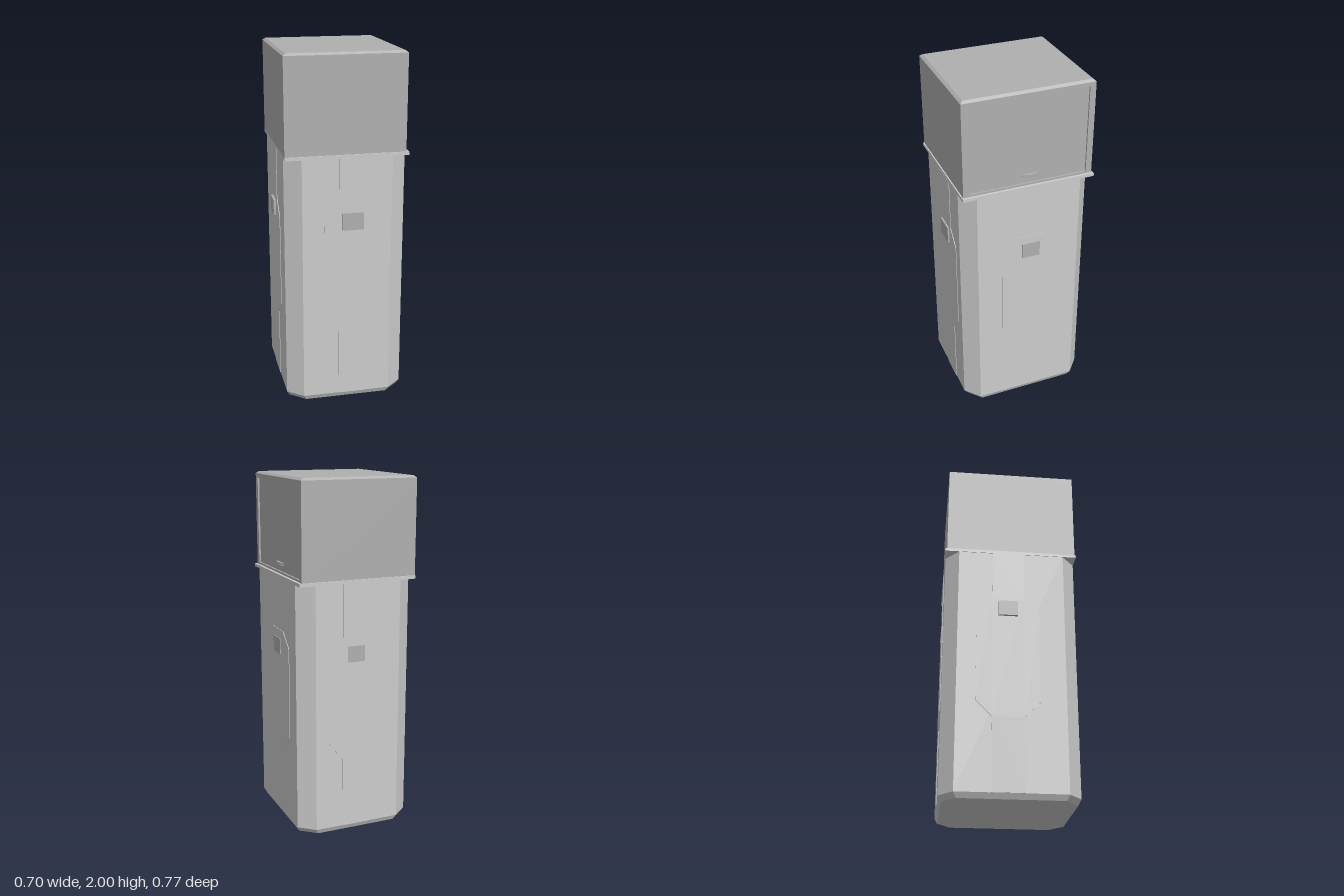
import * as THREE from 'three';
import { ConvexGeometry } from 'three/addons/geometries/ConvexGeometry.js';

const grey = new THREE.MeshStandardMaterial({ color: 0xcccccc, flatShading: true });
const darkGrey = new THREE.MeshStandardMaterial({ color: 0xafafaf, flatShading: true });

function add(parent, name, geometry, material) {
  const mesh = new THREE.Mesh(geometry, material);
  mesh.name = name;
  parent.add(mesh);
  return mesh;
}

// Box given by its minimum and maximum on each axis
function box(x0, x1, y0, y1, z0, z1) {
  return new THREE.BoxGeometry(x1 - x0, y1 - y0, z1 - z0)
    .translate((x0 + x1) / 2, (y0 + y1) / 2, (z0 + z1) / 2);
}

// Rectangle with optional cut corners, shrunk by inset, at height y
function ring(x0, x1, z0, z1, cx, cz, inset, y) {
  const points = [];
  for (const [x, sx] of [[x0 + inset, 1], [x1 - inset, -1]]) {
    for (const [z, sz] of [[z0 + inset, 1], [z1 - inset, -1]]) {
      if (cx === 0) points.push(new THREE.Vector3(x, y, z));
      else points.push(new THREE.Vector3(x + sx * cx, y, z), new THREE.Vector3(x, y, z + sz * cz));
    }
  }
  return points;
}

// Eight-sided raised panel, optionally joined to bands running up and down
function panelGeometry(halfWidth, halfBand, bandUp, bandDown) {
  const right = [];
  if (bandDown) right.push([halfBand, 0.03]);
  right.push([halfBand, 0.44], [halfWidth, 0.53], [halfWidth, 1.06], [halfBand, 1.14]);
  if (bandUp) right.push([halfBand, 1.44]);
  const left = right.map(([x, y]) => [-x, y]).reverse();
  const shape = new THREE.Shape([...right, ...left].map(([x, y]) => new THREE.Vector2(x, y)));
  return new THREE.ExtrudeGeometry(shape, { depth: 0.006, bevelEnabled: false }).translate(0, 0, -0.003);
}

export function createModel() {
  const model = new THREE.Group();
  model.name = 'tower';

  // Main body with chamfered corners and a bevelled foot
  const body = [-0.337, 0.342, -0.38, 0.37, 0.088, 0.075];
  add(model, 'body', new ConvexGeometry([
    ...ring(...body, 0.015, 0), ...ring(...body, 0, 0.03), ...ring(...body, 0, 1.44),
  ]), grey);
  add(model, 'flange', box(-0.34, 0.346, 1.438, 1.456, -0.384, 0.372), grey);

  // Raised panels, one per side
  const sides = [
    ['frontPanel', 0.16, 0.08, true, true, 0.035, 0.37, 0],
    ['backPanel', 0.16, 0.08, true, true, 0.015, -0.38, Math.PI],
    ['leftPanel', 0.177, 0.088, false, false, 0.342, -0.023, Math.PI / 2],
    ['rightPanel', 0.177, 0.088, true, true, -0.337, -0.023, -Math.PI / 2],
  ];
  for (const [name, width, band, up, down, x, z, turn] of sides) {
    const panel = add(model, name, panelGeometry(width, band, up, down), grey);
    panel.position.set(x, 0, z);
    panel.rotation.y = turn;
  }

  // Small latch plates on the panels
  add(model, 'frontLatch', box(-0.028, 0.093, 1.033, 1.13, 0.36, 0.383), darkGrey);
  add(model, 'backLatch', box(-0.034, 0.067, 1, 1.09, -0.387, -0.37), darkGrey);
  add(model, 'leftLatch', box(0.33, 0.35, 1, 1.09, -0.07, 0.035), darkGrey);
  add(model, 'rightLatch', box(-0.354, -0.33, 1.037, 1.125, -0.077, 0.031), darkGrey);

  // Head: core, bevelled cap and a frame around the recessed door
  const head = new THREE.Group();
  head.name = 'head';
  model.add(head);
  const cap = [-0.34, 0.33, -0.375, 0.365, 0, 0];
  add(head, 'core', box(-0.34, 0.32, 1.45, 1.965, -0.375, 0.365), darkGrey);
  add(head, 'cap', new ConvexGeometry([
    ...ring(...cap, 0, 1.965), ...ring(...cap, 0, 1.988), ...ring(...cap, 0.015, 2),
  ]), darkGrey);
  for (const [z0, z1] of [[-0.375, -0.341], [0.331, 0.365]]) {
    add(head, 'doorPost', box(0.31, 0.33, 1.45, 1.965, z0, z1), darkGrey);
  }
  add(head, 'doorSill', box(0.31, 0.33, 1.45, 1.468, -0.341, 0.331), darkGrey);

  // Bowed door handle, lens-shaped from above
  const lens = new THREE.Shape();
  lens.moveTo(0, -0.06);
  lens.quadraticCurveTo(0.034, 0, 0, 0.06);
  lens.closePath();
  const handle = add(head, 'doorHandle',
    new THREE.ExtrudeGeometry(lens, { depth: 0.018, bevelEnabled: false, curveSegments: 8 }), darkGrey);
  handle.rotation.x = -Math.PI / 2;
  handle.position.set(0.319, 1.502, -0.016);

  return model;
}
